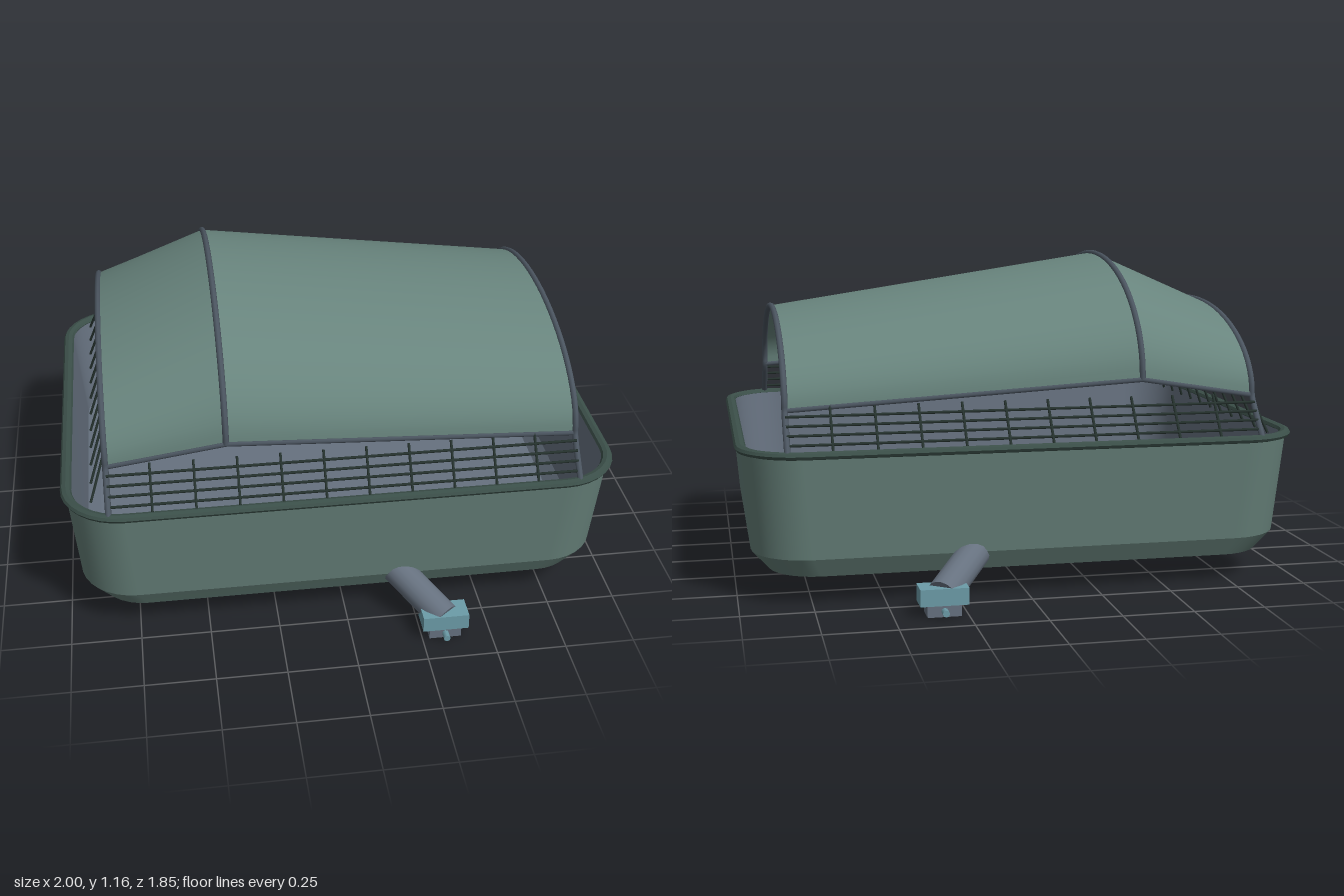
import * as THREE from 'three';
import { mergeGeometries } from 'three/addons/utils/BufferGeometryUtils.js';

const V = (x, y, z) => new THREE.Vector3(x, y, z);
const mat = (name, color, side = THREE.FrontSide) => {
  const m = new THREE.MeshStandardMaterial({ color, side });
  m.name = name;
  return m;
};

// Rounded rectangle outline at height y, running from +x towards +z
function roundedRing(hx, hz, r, y, n = 8) {
  const pts = [];
  for (let q = 0; q < 4; q++) {
    const sx = q === 0 || q === 3 ? 1 : -1, sz = q < 2 ? 1 : -1;
    for (let i = 0; i <= n; i++) {
      const a = (q + i / n) * Math.PI / 2;
      pts.push(V(sx * (hx - r) + r * Math.cos(a), y, sz * (hz - r) + r * Math.sin(a)));
    }
  }
  return pts;
}

// Surface strip between two outlines with the same number of points
function strip(lower, upper, closed) {
  const n = lower.length, index = [];
  for (let j = 0; j < (closed ? n : n - 1); j++) {
    const k = (j + 1) % n;
    index.push(j, n + j, k, k, n + j, n + k);
  }
  const g = new THREE.BufferGeometry().setFromPoints([...lower, ...upper]);
  g.setIndex(index);
  g.computeVertexNormals();
  return g;
}

// Stack of rounded rectangles with crisp edges between the rows
const loft = rows => mergeGeometries(
  rows.slice(1).map((row, i) => strip(roundedRing(...rows[i]), roundedRing(...row), true)));

function rod(a, b, r, sides = 6) {
  const d = b.clone().sub(a);
  const g = new THREE.CylinderGeometry(r, r, d.length(), sides);
  g.applyQuaternion(new THREE.Quaternion().setFromUnitVectors(V(0, 1, 0), d.normalize()));
  const m = a.clone().add(b).multiplyScalar(0.5);
  return g.translate(m.x, m.y, m.z);
}

export function createModel() {
  const model = new THREE.Group();
  const green = mat('sage green', 0x647e77);
  const shellGreen = mat('sage green canopy', 0x68847d, THREE.DoubleSide);
  const rimGreen = mat('dark green', 0x3b4f49);
  const slate = mat('slate', 0x66717f);
  const frameSlate = mat('dark slate', 0x4b5560);
  const rodDark = mat('dark rods', 0x26332f);
  const teal = mat('teal', 0x6c9ca8);
  const add = (name, geometry, material, parent = model) => {
    const m = new THREE.Mesh(geometry, material);
    m.name = name;
    parent.add(m);
    return m;
  };

  // Tub: outer wall, inner liner and rolled rim
  add('tubOuter', loft([
    [0, 0, 0, 0.102], [0.89, 0.68, 0.17, 0.102], [0.95, 0.717, 0.2, 0.17], [0.98, 0.75, 0.2, 0.533],
  ]), green);
  add('tubLiner', loft([
    [0.96, 0.73, 0.19, 0.533], [0.925, 0.695, 0.18, 0.19], [0.88, 0.655, 0.15, 0.14], [0, 0, 0, 0.14],
  ]), slate);
  const rimRows = [];
  for (let k = 0; k <= 8; k++) {
    const a = k / 8 * Math.PI * 2, c = 0.02 * Math.cos(a);
    rimRows.push([0.978 + c, 0.75 + c, 0.2 + c, 0.533 + 0.014 * Math.sin(a)]);
  }
  add('rim', loft(rimRows), rimGreen);

  // Canopy: two curved panels spanning three arches
  const arch = (x, half, base, rise) => Array.from({ length: 33 }, (_, i) => {
    const t = i / 32 * Math.PI;
    return V(x, base + rise * Math.sin(t), half * Math.cos(t));
  });
  const arches = [
    arch(-0.83, 0.635, 0.672, 0.295),
    arch(-0.415, 0.655, 0.742, 0.408),
    arch(0.83, 0.635, 0.668, 0.295),
  ];
  add('canopyShortPanel', strip(arches[1], arches[0], false), shellGreen);
  add('canopyLongPanel', strip(arches[2], arches[1], false), shellGreen);

  // Arch frames; the end ones flare out to feet on the rim
  arches.forEach((pts, i) => {
    const path = i === 1 ? pts
      : [V(pts[0].x, 0.535, 0.745), ...pts, V(pts[0].x, 0.535, -0.745)];
    add('archFrame', new THREE.TubeGeometry(new THREE.CatmullRomCurve3(path), 80, 0.011, 8), frameSlate);
  });

  // Rails along the lower canopy edges
  for (const end of [0, 32]) {
    for (let i = 0; i < 2; i++) add('canopyRail', rod(arches[i][end], arches[i + 1][end], 0.009), frameSlate);
  }

  // Sloping side grilles
  const slope = (x, t, s) => V(x, 0.535 + 0.145 * t, s * (0.745 - 0.105 * t));
  for (const s of [1, -1]) {
    const bars = [];
    for (const t of [0.2, 0.4, 0.6, 0.8]) bars.push(rod(slope(-0.83, t, s), slope(0.83, t, s), 0.005));
    for (let i = 0; i < 10; i++) {
      const x = -0.68 + i * 0.151;
      bars.push(rod(slope(x, 0, s), slope(x, 1, s), 0.005));
    }
    add('sideGrille', mergeGeometries(bars), rodDark);
  }

  // Fanned rods at the short end
  const fan = [];
  for (let i = 0; i < 12; i++) {
    const z = (i - 5.5) * 0.117;
    fan.push(rod(V(-0.89, 0.535, z), V(-0.838, 0.68, z * 0.9), 0.005));
  }
  add('endRods', mergeGeometries(fan), rodDark);

  // Drain spouts on both long sides
  for (const s of [1, -1]) {
    const drain = new THREE.Group();
    drain.name = 'drain';
    model.add(drain);
    add('drainPipe', rod(V(0.185, 0.163, s * 0.67), V(0.335, 0.065, s * 0.86), 0.056, 16), slate, drain);
    const box = (name, w, h, d, x, y, z, m) =>
      add(name, new THREE.BoxGeometry(w, h, d), m, drain).position.set(x, y, s * z);
    box('drainCollar', 0.165, 0.058, 0.09, 0.333, 0.069, 0.855, teal);
    box('drainOutlet', 0.115, 0.04, 0.075, 0.333, 0.02, 0.855, slate);
    add('drainKnob', rod(V(0.333, 0.02, s * 0.88), V(0.333, 0.02, s * 0.925), 0.012, 8), teal, drain);
  }
  return model;
}
